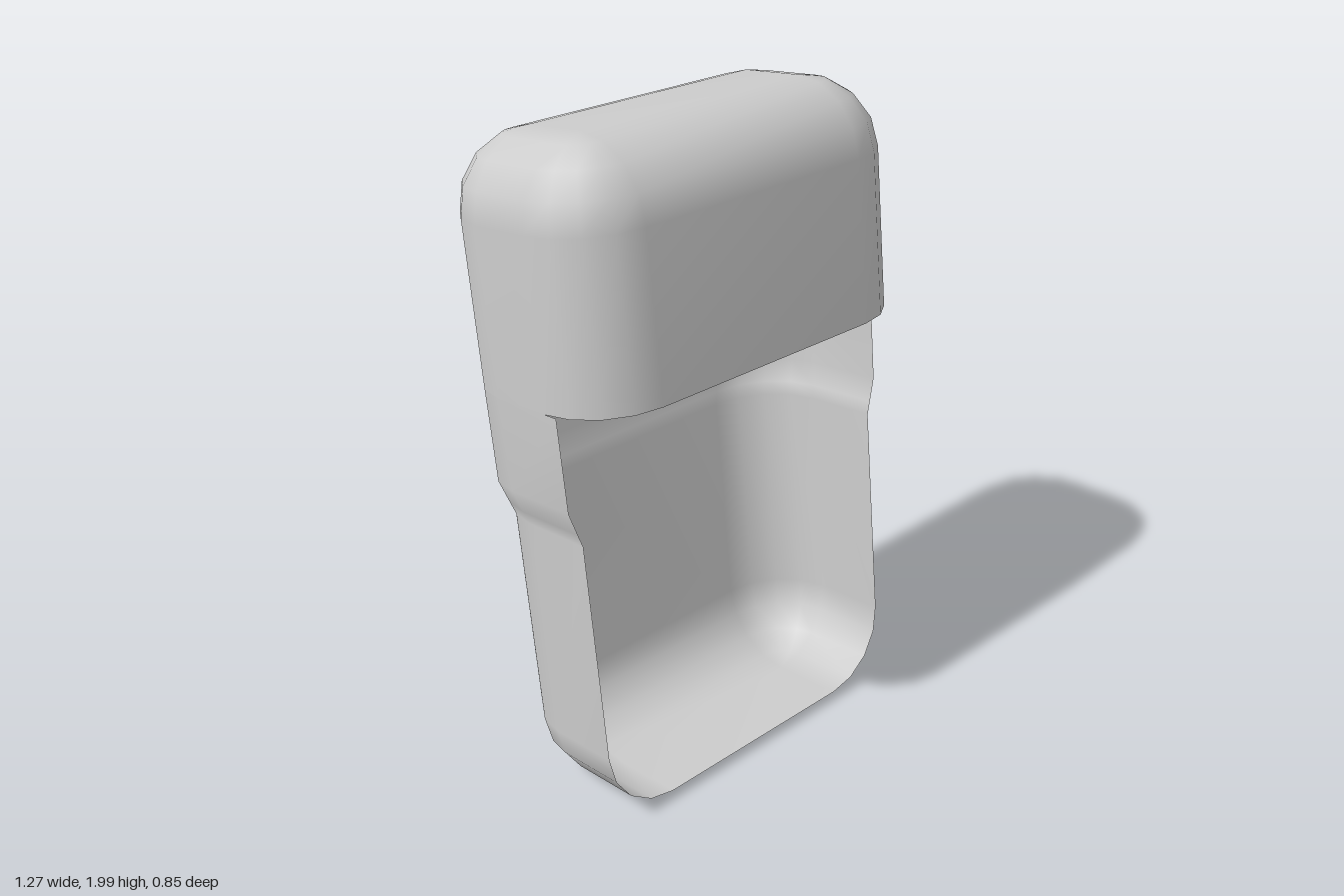
import * as THREE from 'three';
import { mergeVertices } from 'three/addons/utils/BufferGeometryUtils.js';

const R = 0.22;        // edge radius
const SEG = 4;         // segments per rounded corner
const LIP_Z = 0.21;    // plane of the open front
const RIM_Y = 0.285;   // lower edge of the hood

const shell = new THREE.MeshStandardMaterial({ color: 0xcccccc, side: THREE.DoubleSide });
shell.name = 'grey shell';

// Rounded outline at one height, from front right round the back to front left
function ring(y, halfW, back, front, radius, open) {
  const pts = [];
  const arc = (cx, cz, from) => {
    for (let i = 0; i <= SEG; i++) {
      const a = (from + (i / SEG) * 90) * Math.PI / 180;
      pts.push([cx + radius * Math.cos(a), y, cz - radius * Math.sin(a)]);
    }
  };
  const cx = halfW - radius;
  if (open) pts.push([halfW, y, front]);
  else arc(cx, front - radius, -90);
  arc(cx, back + radius, 0);
  arc(-cx, back + radius, 90);
  if (open) pts.push([-halfW, y, front]);
  else arc(-cx, front - radius, 180);
  return pts;
}

// Skin a stack of rings, closing the bottom or top with a flat cap
function loft(rings, { closed, capBottom, capTop }) {
  const n = rings[0].length;
  const index = [];
  const quad = (a, b, c, d) => index.push(a, b, c, a, c, d);
  for (let j = 0; j < rings.length - 1; j++) {
    for (let i = 0; i < (closed ? n : n - 1); i++) {
      const k = (i + 1) % n;
      quad(j * n + i, j * n + k, (j + 1) * n + k, (j + 1) * n + i);
    }
  }
  const last = (rings.length - 1) * n;
  for (let i = 0; i < n / 2 - 1; i++) {
    if (capTop) quad(last + i, last + i + 1, last + n - 2 - i, last + n - 1 - i);
    if (capBottom) quad(n - 1 - i, n - 2 - i, i + 1, i);
  }
  const geo = new THREE.BufferGeometry();
  geo.setAttribute('position', new THREE.Float32BufferAttribute(rings.flat(2), 3));
  geo.setIndex(index);
  const merged = mergeVertices(geo, 1e-4);
  merged.computeVertexNormals();
  return merged;
}

function addPart(group, name, geometry) {
  const mesh = new THREE.Mesh(geometry, shell);
  mesh.name = name;
  group.add(mesh);
}

export function createModel() {
  const body = new THREE.Group();
  body.name = 'tiltedShell';

  // Tray: rounded floor, straight walls, a small flare, open at the front
  const tray = [];
  for (let i = 0; i <= SEG; i++) {
    const a = (i / SEG) * Math.PI / 2;
    const inset = R * (1 - Math.sin(a));
    tray.push(ring(-1 + R * (1 - Math.cos(a)), 0.575 - inset, -0.245 + inset, LIP_Z, R * Math.sin(a), true));
  }
  tray.push(ring(-0.1, 0.577, -0.245, LIP_Z, R, true));
  tray.push(ring(-0.06, 0.59, -0.25, LIP_Z, R, true));
  tray.push(ring(0.01, 0.612, -0.26, LIP_Z, R, true));
  tray.push(ring(RIM_Y, 0.615, -0.26, LIP_Z, R, true));
  addPart(body, 'openTray', loft(tray, { capBottom: true }));

  // Hood: full outline with a rounded top, open underneath
  const hood = [ring(RIM_Y, 0.615, -0.26, 0.383, R, false)];
  for (let i = 0; i <= SEG; i++) {
    const a = (i / SEG) * Math.PI / 2;
    const inset = R * (1 - Math.cos(a));
    hood.push(ring(0.985 - R + R * Math.sin(a), 0.615 - inset, -0.26 + inset, 0.383 - inset, R * Math.cos(a), false));
  }
  addPart(body, 'hood', loft(hood, { closed: true, capTop: true }));

  // Lean back and turn to one side
  body.rotation.set(THREE.MathUtils.degToRad(-7), THREE.MathUtils.degToRad(12.2), 0, 'YXZ');

  const model = new THREE.Group();
  model.name = 'roundedShell';
  model.add(body);
  const box = new THREE.Box3().setFromObject(model, true);
  const c = box.getCenter(new THREE.Vector3());
  body.position.set(-c.x, -box.min.y, -c.z);
  return model;
}
